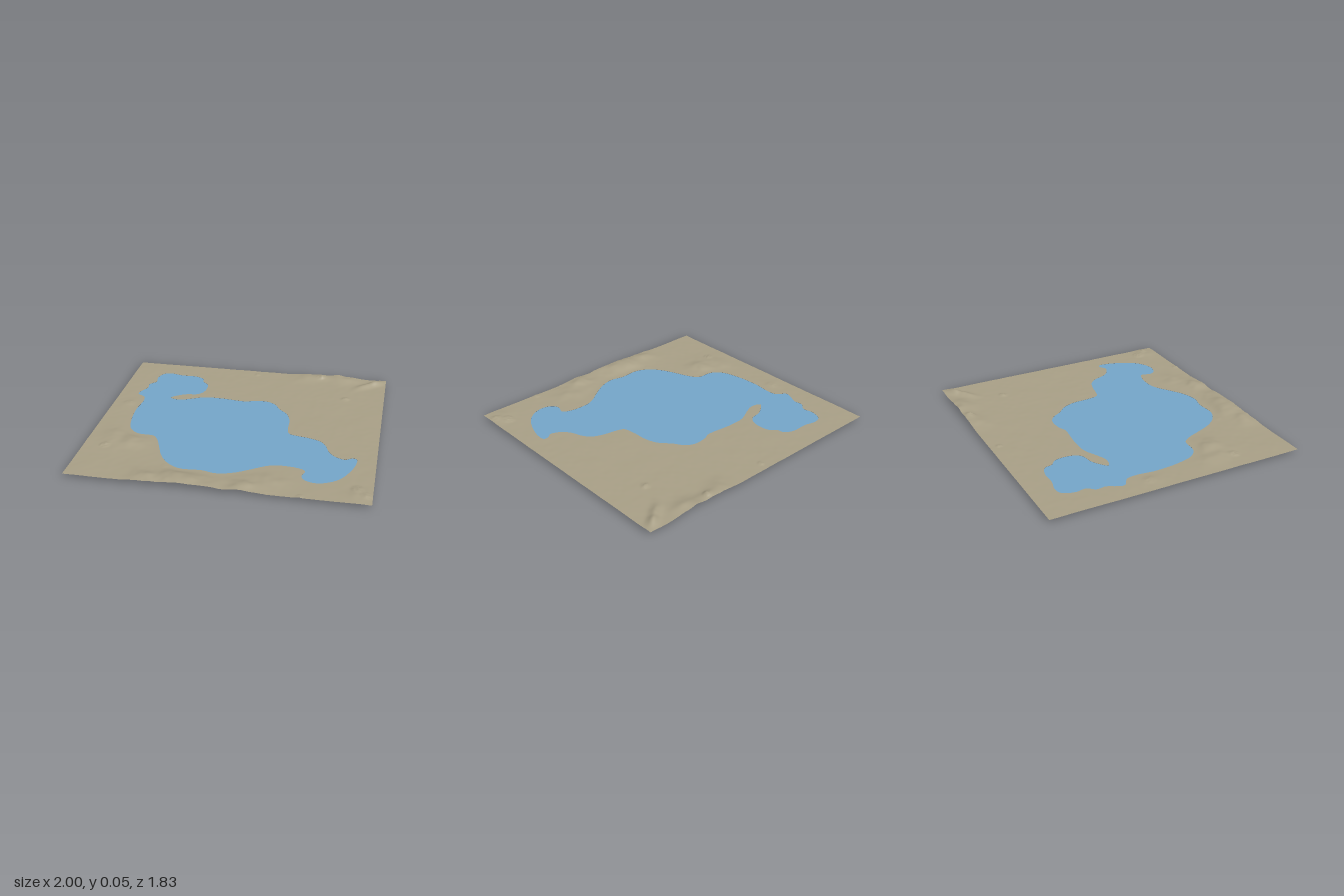
import * as THREE from 'three';

const HALF_X = 1, HALF_Z = 0.917, NX = 200, NZ = 184, LEVEL = 0.022;

// Lake shoreline, x and z pairs
const SHORE = [
  -0.76, -0.73, -0.7, -0.745, -0.61, -0.725, -0.5, -0.725, -0.43, -0.69, -0.42, -0.64, -0.375, -0.595,
  -0.365, -0.5, -0.385, -0.435, -0.42, -0.405, -0.5, -0.39, -0.6, -0.312, -0.525, -0.29, -0.45, -0.318,
  -0.345, -0.366, -0.21, -0.371, -0.02, -0.355, 0.03, -0.376, 0.135, -0.382, 0.2, -0.345, 0.245, -0.275,
  0.31, -0.205, 0.345, -0.105, 0.35, 0, 0.37, 0.093, 0.43, 0.115, 0.51, 0.13, 0.595, 0.163, 0.64, 0.216,
  0.67, 0.296, 0.715, 0.355, 0.79, 0.387, 0.83, 0.362, 0.865, 0.365, 0.865, 0.445, 0.83, 0.553, 0.78, 0.643,
  0.715, 0.697, 0.63, 0.723, 0.553, 0.697, 0.53, 0.649, 0.548, 0.585, 0.485, 0.553, 0.35, 0.547, 0.285, 0.569,
  0.19, 0.633, 0.083, 0.697, -0.025, 0.723, -0.12, 0.702, -0.265, 0.707, -0.355, 0.66, -0.425, 0.574,
  -0.48, 0.446, -0.515, 0.36, -0.56, 0.302, -0.675, 0.291, -0.745, 0.232, -0.783, 0.11, -0.8, -0.077,
  -0.788, -0.21, -0.8, -0.286, -0.863, -0.334, -0.853, -0.382, -0.82, -0.451, -0.826, -0.515, -0.783, -0.569,
  -0.794, -0.643,
];

// Hills: x, z, radius x, radius z, height
const HILLS = [
  [-0.27, 0.84, 0.1, 0.09, 0.024], [-0.42, 0.86, 0.12, 0.1, 0.02], [-0.1, 0.88, 0.13, 0.09, 0.018],
  [0.17, 0.86, 0.09, 0.11, 0.022], [0.33, 0.75, 0.1, 0.09, 0.012], [-0.68, 0.42, 0.1, 0.09, 0.014],
  [-0.82, 0.36, 0.08, 0.14, 0.01], [-0.88, -0.13, 0.06, 0.08, 0.006], [0.5, -0.9, 0.1, 0.06, 0.02],
  [0.68, -0.9, 0.09, 0.1, 0.02], [0.35, -0.86, 0.08, 0.07, 0.012], [0.92, 0.82, 0.08, 0.07, 0.008],
];

// Small rough outcrops: x, z, radius, height
const OUTCROPS = [
  [0.71, -0.53, 0.035, 0.012], [-0.85, 0.5, 0.04, 0.012], [-0.02, -0.85, 0.025, 0.009],
  [0.49, -0.87, 0.035, 0.013], [0.9, 0.75, 0.05, 0.01], [0.96, 0.82, 0.04, 0.01],
  [-0.36, 0.68, 0.04, 0.008], [0.55, 0.9, 0.025, 0.01], [-0.88, -0.17, 0.05, 0.005],
];

const hash = (i, j) => {
  const s = Math.sin(i * 127.1 + j * 311.7) * 43758.5453;
  return s - Math.floor(s);
};
const smooth = (t) => THREE.MathUtils.smoothstep(t, 0, 1);

function noise(x, z) {
  const i = Math.floor(x), j = Math.floor(z), u = smooth(x - i), v = smooth(z - j);
  const a = THREE.MathUtils.lerp(hash(i, j), hash(i + 1, j), u);
  const b = THREE.MathUtils.lerp(hash(i, j + 1), hash(i + 1, j + 1), u);
  return THREE.MathUtils.lerp(a, b, v) - 0.5;
}

function shorePoints() {
  const pts = [];
  for (let i = 0; i < SHORE.length; i += 2) pts.push(new THREE.Vector3(SHORE[i], 0, SHORE[i + 1]));
  return new THREE.CatmullRomCurve3(pts, true, 'centripetal').getPoints(240).slice(0, -1);
}

// Nearest shore point and signed distance, positive inside the lake
function probe(x, z, shore) {
  let best = Infinity, bx = 0, bz = 0, inside = false;
  for (let i = 0, j = shore.length - 1; i < shore.length; j = i++) {
    const a = shore[j], b = shore[i], dx = b.x - a.x, dz = b.z - a.z;
    const t = THREE.MathUtils.clamp(((x - a.x) * dx + (z - a.z) * dz) / (dx * dx + dz * dz), 0, 1);
    const px = a.x + dx * t, pz = a.z + dz * t, d = (x - px) ** 2 + (z - pz) ** 2;
    if (d < best) { best = d; bx = px; bz = pz; }
    if ((a.z > z) !== (b.z > z) && x < a.x + (dx * (z - a.z)) / dz) inside = !inside;
  }
  return { d: Math.sqrt(best) * (inside ? 1 : -1), bx, bz };
}

function landHeight(x, z, d) {
  let hill = 0;
  for (const [cx, cz, rx, rz, h] of HILLS) {
    hill += h * Math.exp(-(((x - cx) / rx) ** 2) - ((z - cz) / rz) ** 2);
  }
  // Diagonal ridge in the back corner
  const along = (x - 0.89) * 0.75 - (z + 0.82) * 0.66, across = (x - 0.89) * 0.66 + (z + 0.82) * 0.75;
  hill += 0.024 * Math.exp(-((along / 0.12) ** 2) - (across / 0.035) ** 2);
  // Gentle unevenness, stronger on the hills
  let y = hill * (1 + 0.9 * noise(x * 13 + 5, z * 13)) + noise(x * 9, z * 9 + 7) * 0.002;
  y += noise(x * 26, z * 26) * (0.001 + hill * 0.15);
  for (const [cx, cz, r, h] of OUTCROPS) {
    const k = Math.hypot(x - cx, z - cz) / r;
    if (k < 1) y += h * (1 - k * k) * (0.3 + 0.7 * hash(Math.round(x * 80), Math.round(z * 80)));
  }
  // Shallow rectangular pit by the front edge
  if (Math.abs(x - 0.39) < 0.055 && z > 0.89) y -= 0.008;
  return LEVEL + 0.001 + Math.max(-0.001, y) * smooth(-d / 0.08);
}

export function createModel() {
  const group = new THREE.Group();
  const shore = shorePoints(), cell = (2 * HALF_X) / NX;

  // Ground grid, with vertices near the shore moved onto it
  const xs = [], zs = [], ds = [];
  for (let j = 0; j <= NZ; j++) {
    for (let i = 0; i <= NX; i++) {
      const x = -HALF_X + i * cell, z = -HALF_Z + (2 * HALF_Z * j) / NZ;
      const p = probe(x, z, shore), snap = Math.abs(p.d) < cell * 0.5;
      xs.push(snap ? p.bx : x);
      zs.push(snap ? p.bz : z);
      ds.push(snap ? 0 : p.d);
    }
  }

  // Sort the triangles into land and lake
  const land = [], lake = [];
  const addTriangle = (...t) => {
    (ds[t[0]] + ds[t[1]] + ds[t[2]] > 0 ? lake : land).push(...t);
  };
  for (let j = 0; j < NZ; j++) {
    for (let i = 0; i < NX; i++) {
      const a = j * (NX + 1) + i, b = a + 1, c = a + NX + 1, e = c + 1;
      if (Math.abs(ds[a] + ds[e]) > Math.abs(ds[b] + ds[c])) {
        addTriangle(a, c, b);
        addTriangle(b, c, e);
      } else {
        addTriangle(a, c, e);
        addTriangle(a, e, b);
      }
    }
  }

  const addSheet = (name, triangles, material, height) => {
    const remap = new Map(), pos = [];
    const index = triangles.map((v) => {
      if (!remap.has(v)) {
        remap.set(v, remap.size);
        pos.push(xs[v], height(xs[v], zs[v], ds[v]), zs[v]);
      }
      return remap.get(v);
    });
    const geo = new THREE.BufferGeometry();
    geo.setAttribute('position', new THREE.Float32BufferAttribute(pos, 3));
    geo.setIndex(index);
    geo.computeVertexNormals();
    const mesh = new THREE.Mesh(geo, material);
    mesh.name = name;
    group.add(mesh);
  };

  const earth = new THREE.MeshStandardMaterial({ color: 0xa89f86, side: THREE.DoubleSide });
  earth.name = 'earth';
  const water = new THREE.MeshStandardMaterial({ color: 0x74a5c9, side: THREE.DoubleSide });
  water.name = 'water';

  addSheet('land', land, earth, (x, z, d) => landHeight(x, z, Math.min(d, 0)));
  addSheet('lakeSurface', lake, water, () => LEVEL);
  // Lake bed, deepest in the middle of the main basin
  addSheet('lakeBed', lake, water, (x, z, d) => LEVEL - LEVEL * Math.min(1, Math.max(d, 0) / 0.4));
  return group;
}
